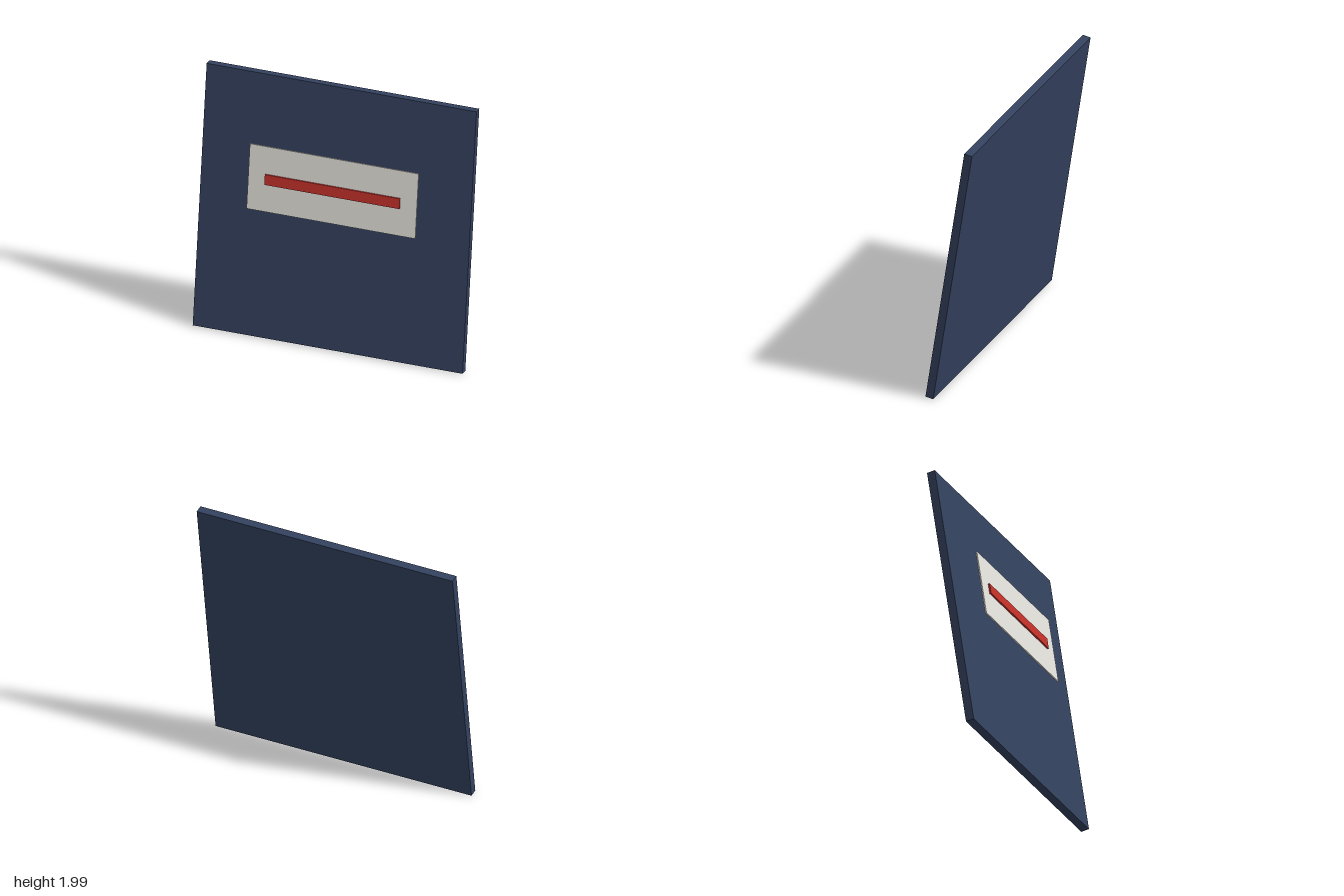
import * as THREE from 'three';

const TILT = 0.15;

export function createModel() {
  const model = new THREE.Group();
  model.name = 'leaningSign';

  // Everything shares one backward lean about the middle of the board
  const leaning = new THREE.Group();
  leaning.name = 'leaningAssembly';
  leaning.rotation.x = -TILT;
  leaning.position.y = Math.cos(TILT) + 0.03 * Math.sin(TILT);
  model.add(leaning);

  const addSlab = (name, color, width, height, depth, y, z) => {
    const mesh = new THREE.Mesh(
      new THREE.BoxGeometry(width, height, depth),
      new THREE.MeshStandardMaterial({ color })
    );
    mesh.name = name;
    mesh.position.set(0, y, z);
    leaning.add(mesh);
  };

  // Large square board
  addSlab('board', 0x34425f, 2, 2, 0.06, 0, 0);
  // Pale plate floating in front of the board
  addSlab('plate', 0xe8e6e0, 1.25, 0.495, 0.01, 0.24, 0.106);
  // Red bar on the plate
  addSlab('bar', 0xc8322b, 1, 0.078, 0.0125, 0.24, 0.117);

  return model;
}
